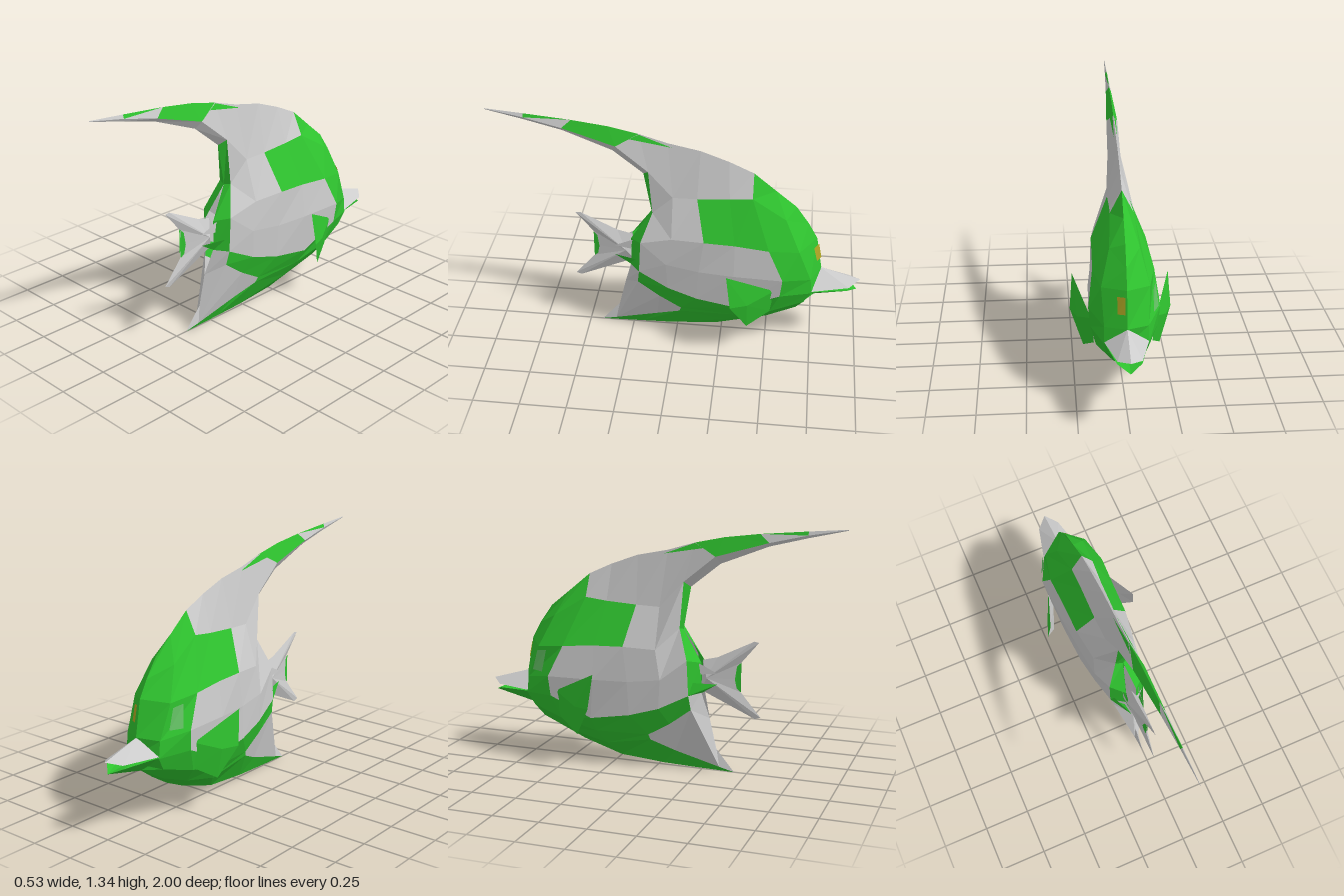
import * as THREE from 'three';

const flat = (name, color) => {
  const m = new THREE.MeshStandardMaterial({ color, side: THREE.DoubleSide, flatShading: true });
  m.name = name;
  return m;
};

// Points are written [z, y, x]; x defaults to 0 (the middle plane). The head points to -z.
const mirror = ([z, y, x = 0]) => [z, y, -x];

// Mesh from polygons (counter-clockwise from outside); sides lists +1 and/or -1 for left/right copies
function panels(name, material, polys, sides = [1, -1]) {
  const pos = [];
  const put = ([z, y, x = 0]) => pos.push(x, y, z);
  for (const side of sides) {
    for (const poly of polys) {
      const p = side > 0 ? poly : poly.map(mirror).reverse();
      for (let i = 1; i < p.length - 1; i++) [p[0], p[i], p[i + 1]].forEach(put);
    }
  }
  const g = new THREE.BufferGeometry();
  g.setAttribute('position', new THREE.Float32BufferAttribute(pos, 3));
  g.computeVertexNormals();
  const mesh = new THREE.Mesh(g, material);
  mesh.name = name;
  return mesh;
}

// Triangles from a raised hub to every edge of a closed outline
const fan = (hub, outline) => outline.map((p, i) => [hub, p, outline[(i + 1) % outline.length]]);

// Half-body sections from the face backwards, each running from top ridge to keel
const headSections = [
  [[-.63, .86], [-.70, .76], [-.75, .67], [-.785, .48], [-.77, .39], [-.76, .33], [-.76, .30], [-.68, .24]],
  [[-.52, .95], [-.58, .82, .075], [-.66, .65, .12], [-.73, .47, .11], [-.74, .38, .11], [-.70, .31, .10], [-.66, .24, .06], [-.57, .17]],
  [[-.40, 1.05], [-.40, .93, .06], [-.50, .67, .155], [-.58, .50, .18], [-.57, .39, .17], [-.52, .26, .14], [-.50, .18, .08], [-.44, .11]],
  [[-.27, 1.11], [-.28, .915, .055], [-.32, .685, .148], [-.32, .50, .17], [-.34, .28, .155], [-.32, .20, .115], [-.28, .12, .065], [-.22, .04]],
];
const tailSections = [
  [[-.12, 1.165], [-.11, .905, .055], [-.155, .69, .145], [-.13, .50, .15], [-.12, .315, .145], [-.03, .20, .09], [-.02, .17, .08], [.03, .02]],
  [[.05, 1.20], [.02, .90, .05], [.02, .68, .12], [.05, .52, .13], [.04, .36, .125], [.09, .27, .085], [.11, .11, .04], [.20, .015]],
  [[.20, 1.245], [.15, 1.04, .035], [.13, .79, .04], [.19, .63, .10], [.20, .44, .10], [.21, .36, .085], [.35, .035, .012], [.43, .01]],
  [[.20, 1.245], [.18, 1.01], [.14, .78], [.25, .61, .03], [.25, .45, .03], [.29, .30], [.33, .13], [.43, .01]],
];
// Colour of each panel from top to keel: g green, w pale grey, - open
const pattern = ['ggggggg', 'ggggggg', 'wgwwggg', 'wgwwggg', 'wwwwgwg', 'wwwwgwg', '-gggwww'];

export function createModel() {
  const green = flat('bright green', 0x2fc42f);
  const grey = flat('pale grey', 0xcccccc);
  const yellow = flat('ochre', 0xb0a624);
  const paleGreen = flat('pale green', 0x66c466);
  const fish = new THREE.Group();
  fish.name = 'fish';

  // Body with painted bands
  const sections = [...headSections, ...tailSections];
  const cells = { g: [], w: [], '-': [] };
  pattern.forEach((column, i) => [...column].forEach((key, j) => {
    const a = sections[i], b = sections[i + 1];
    cells[key].push([a[j], b[j], b[j + 1], a[j + 1]]);
  }));
  fish.add(panels('bodyGreenBands', green, cells.g), panels('bodyGreyBands', grey, cells.w));

  // Long dorsal streamer: each section is top ridge, side edge, rear ridge
  const streamer = [
    [[.20, 1.245], [.15, 1.04, .035], [.18, 1.01]],
    [[.36, 1.28], [.32, 1.18, .03], [.34, 1.14]],
    [[.55, 1.305], [.60, 1.262, .015], [.60, 1.243]],
    [[.80, 1.328], [.80, 1.308, .007], [.80, 1.294]],
    [[1, 1.345], [1, 1.343, .001], [1, 1.34]],
  ];
  const streak = [], plain = [];
  for (let i = 0; i < 4; i++) {
    const [t, s, r] = streamer[i], [t2, s2, r2] = streamer[i + 1];
    (i < 3 ? streak : plain).push([t, t2, s2]);
    (i === 1 ? streak : plain).push([t, s2, s]);
    plain.push([s, s2, r2, r]);
  }
  streak.push([[.03, 1.18, .009], [.20, 1.243, .004], [.25, 1.22, .016]]);
  fish.add(panels('streamerStreak', green, streak), panels('streamer', grey, plain));

  // Tail fin, its green trailing edge and the points at its root
  const tail = [[.25, .62], [.24, .45], [.27, .44], [.54, .32], [.57, .33], [.46, .46],
    [.455, .53], [.46, .62], [.555, .735], [.53, .74], [.33, .64]];
  fish.add(
    panels('tailFin', grey, fan([.28, .53, .035], tail)),
    panels('tailEdge', green, [[[.46, .62, .004], [.46, .46, .004], [.44, .48, .008], [.43, .53, .011], [.44, .60, .008]]]),
    panels('upperTailRoot', grey, [[[.24, .61, .045], [.34, .56, .036], [.25, .55, .045]]]),
    panels('lowerTailRoot', green, [[[.22, .51, .085], [.34, .50, .036], [.26, .45, .04], [.20, .44, .10]]]),
  );

  // Pectoral fins, green outside and grey inside
  const fin = [[-.54, .42, .165], [-.285, .55, .25], [-.31, .36, .265], [-.40, .195, .20], [-.52, .27, .15]];
  fish.add(
    panels('pectoralFinOuter', green, fan([-.40, .36, .232], fin)),
    panels('pectoralFinInner', grey, fan([-.39, .36, .212], [...fin].reverse())),
  );

  // Beak: upper jaw and lower jaw
  const topBase = [-.78, .48], topTip = [-1, .415], topSide = [-.94, .395, .06], topBack = [-.74, .39, .11];
  const lowTip = [-.985, .35], lowSide = [-.93, .375, .06], lowBack = [-.73, .385, .11], lowBase = [-.75, .295];
  fish.add(
    panels('upperJaw', grey, [[topTip, topBase, topSide], [topBase, topBack, topSide]]),
    panels('upperJawUnderside', grey, [[topTip, topSide, topBack, [-.76, .385]]]),
    panels('lowerJaw', green, [[lowTip, lowSide, lowBase], [lowSide, lowBack, lowBase]]),
    panels('lowerJawInside', green, [[lowTip, [-.76, .375], lowBack, lowSide]]),
  );

  // Painted spots on the face
  fish.add(
    panels('foreheadSpot', yellow, [[[-.762, .64, .009], [-.737, .634, .047], [-.758, .55, .046], [-.78, .555, .009]]], [1]),
    panels('cheekSpot', paleGreen, [[[-.66, .63, .137], [-.60, .64, .152], [-.62, .52, .168], [-.69, .52, .136]]], [-1]),
  );
  return fish;
}
